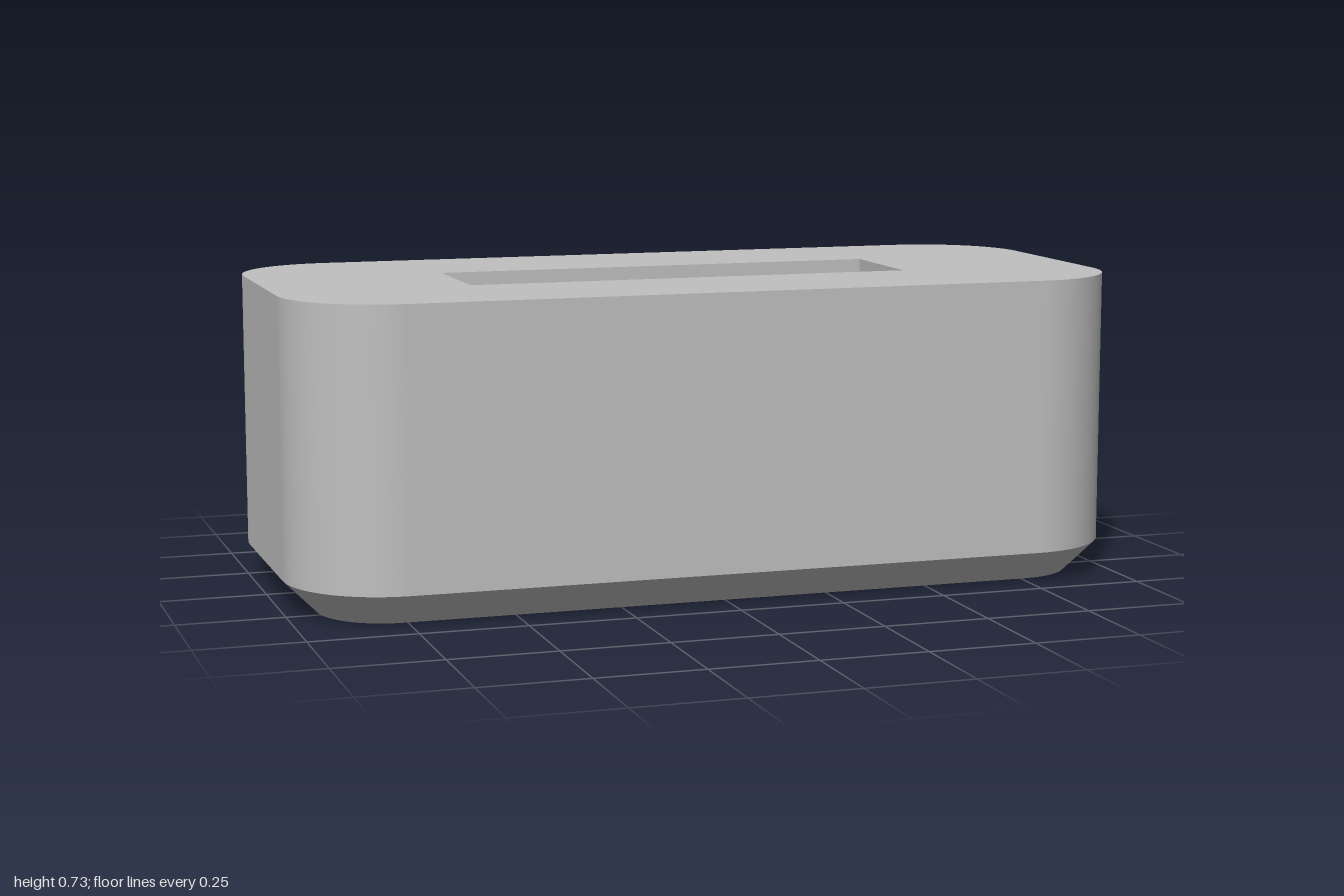
import * as THREE from 'three';

const W = 1, D = 0.462, H = 0.725;       // half width, half depth, height
const R = 0.24, C = 0.077;               // corner radius, bottom chamfer
const PW = 0.537, PD = 0.142, DEPTH = 0.5; // pocket half sizes and depth
const STEPS = 16;

// Rounded rectangle outline: points with their outward normals
function outline() {
  const pts = [];
  [[1, 1], [-1, 1], [-1, -1], [1, -1]].forEach(([sx, sz], q) => {
    for (let i = 0; i <= STEPS; i++) {
      const a = (q + i / STEPS) * Math.PI / 2;
      const nx = Math.cos(a), nz = Math.sin(a);
      pts.push({ x: sx * (W - R) + R * nx, z: sz * (D - R) + R * nz, nx, nz });
    }
  });
  return pts;
}

// Closed band between two levels, each inset along the outline normals
function band(pts, yTop, insetTop, yLow, insetLow) {
  const pos = [], nor = [], idx = [], n = pts.length;
  const slope = new THREE.Vector2(yTop - yLow, insetTop - insetLow).normalize();
  for (const [y, inset] of [[yTop, insetTop], [yLow, insetLow]]) {
    for (const p of pts) {
      pos.push(p.x - p.nx * inset, y, p.z - p.nz * inset);
      nor.push(p.nx * slope.x, slope.y, p.nz * slope.x);
    }
  }
  for (let i = 0; i < n; i++) {
    const j = (i + 1) % n;
    idx.push(i, j, n + i, j, n + j, n + i);
  }
  const g = new THREE.BufferGeometry();
  g.setAttribute('position', new THREE.Float32BufferAttribute(pos, 3));
  g.setAttribute('normal', new THREE.Float32BufferAttribute(nor, 3));
  g.setIndex(idx);
  return g;
}

function capShape(pts, inset) {
  return new THREE.Shape(pts.map(p => new THREE.Vector2(p.x - p.nx * inset, p.z - p.nz * inset)));
}

// Inward-facing box without its top face
function pocketGeometry() {
  const box = new THREE.BoxGeometry(2 * PW, DEPTH, 2 * PD);
  const idx = Array.from(box.index.array);
  idx.splice(12, 6);
  box.setIndex(idx.reverse());
  box.clearGroups();
  const g = box.toNonIndexed();
  g.computeVertexNormals();
  return g;
}

export function createModel() {
  const group = new THREE.Group();
  const grey = new THREE.MeshStandardMaterial({ color: 0xc0c0c0 });
  grey.name = 'grey';
  const add = (name, geometry, y = 0) => {
    const mesh = new THREE.Mesh(geometry, grey);
    mesh.name = name;
    mesh.position.y = y;
    group.add(mesh);
  };
  const pts = outline();

  // Outer shell
  add('sideWall', band(pts, H, 0, C, 0));
  add('bottomChamfer', band(pts, C, 0, 0, C));
  add('bottomFace', new THREE.ShapeGeometry(capShape(pts, C)).rotateX(Math.PI / 2));

  // Top face with the slot opening
  const top = capShape(pts, 0);
  top.holes.push(new THREE.Path([[-PW, -PD], [-PW, PD], [PW, PD], [PW, -PD]]
    .map(([x, y]) => new THREE.Vector2(x, y))));
  add('topFace', new THREE.ShapeGeometry(top).rotateX(-Math.PI / 2), H);

  // Blind rectangular slot
  add('slotPocket', pocketGeometry(), H - DEPTH / 2);
  return group;
}
